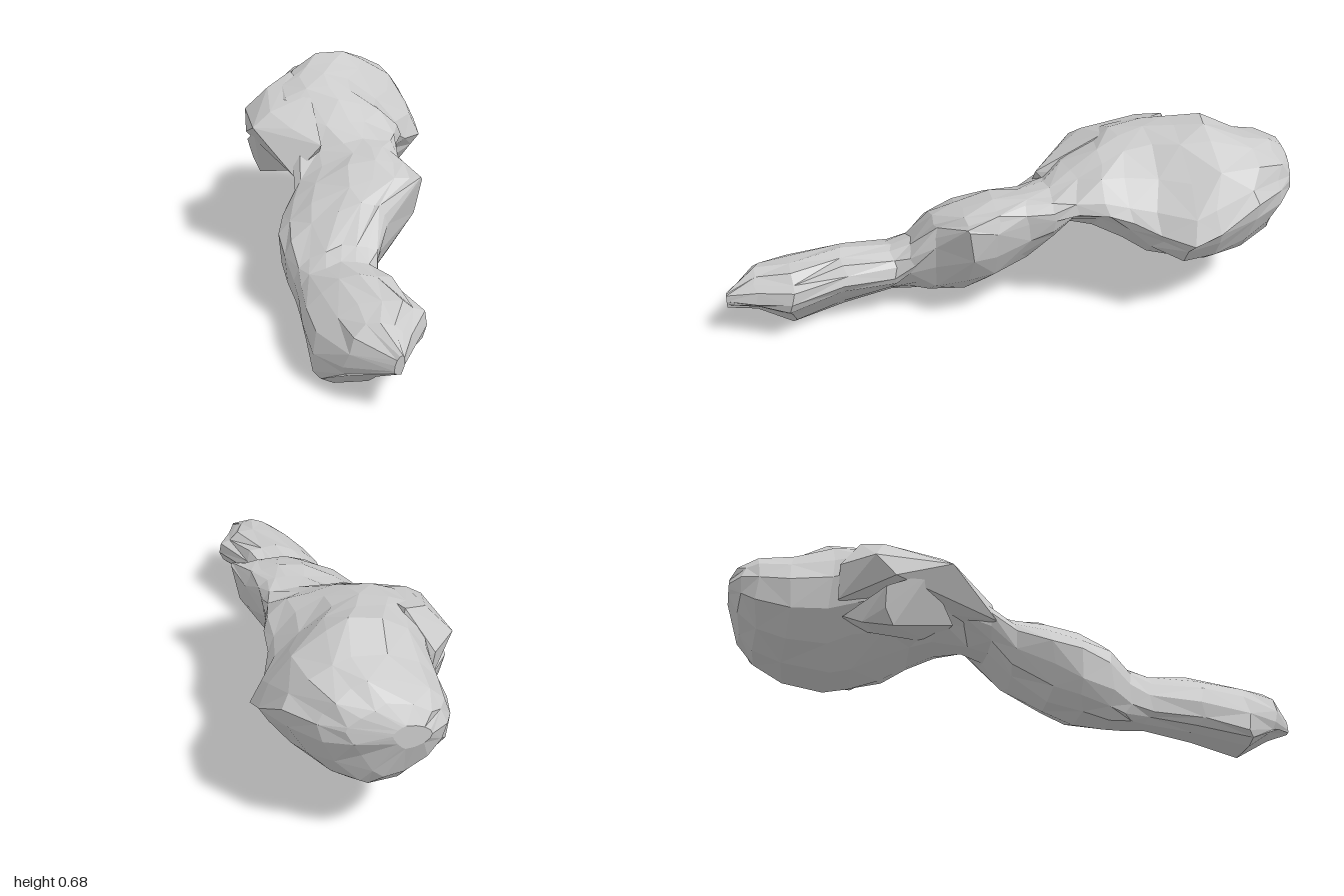
import * as THREE from 'three';
import { ConvexGeometry } from 'three/addons/geometries/ConvexGeometry.js';

const QUARTER = 4, SIDES = QUARTER * 4;

// Each station: z, then the left, right, top and bottom extreme points (x, y).
// bend: corner exponents (top right, top left, bottom left, bottom right); 2 is straight, below 1 is boxy.
const foot = {
  bend: [0.85, 1.1, 0.55, 1.75],
  stations: [
    [1.0, 0.04, 0.14, 0.07, 0.16, 0.065, 0.19, 0.06, 0.13],
    [0.9, -0.10, 0.11, 0.11, 0.16, 0.01, 0.25, 0.0, 0.075],
    [0.78, -0.18, 0.10, 0.168, 0.18, 0.03, 0.265, -0.01, 0.0],
    [0.6, -0.20, 0.12, 0.11, 0.20, -0.02, 0.28, -0.06, 0.025],
    [0.42, -0.20, 0.13, 0.06, 0.18, -0.06, 0.25, -0.11, 0.035],
    [0.35, -0.21, 0.16, 0.07, 0.23, -0.05, 0.28, -0.11, 0.03],
  ],
};
const neck = {
  bend: [0.75, 1.35, 0.8, 1.15],
  stations: [
    [0.28, -0.235, 0.22, 0.11, 0.32, 0.02, 0.40, -0.11, 0.03],
    [0.18, -0.25, 0.26, 0.238, 0.44, 0.07, 0.445, -0.08, 0.05],
    [0.08, -0.23, 0.29, 0.21, 0.41, 0.09, 0.48, -0.05, 0.105],
    [-0.03, -0.18, 0.34, 0.18, 0.42, 0.09, 0.49, 0.0, 0.20],
    [-0.12, -0.18, 0.40, 0.19, 0.43, 0.07, 0.495, 0.0, 0.29],
  ],
};
const recess = {
  bend: [1.1, 1.1, 1.1, 1.9],
  stations: [
    [-0.2, -0.20, 0.43, 0.20, 0.45, 0.03, 0.535, -0.02, 0.31],
    [-0.3, -0.26, 0.46, 0.23, 0.45, 0.0, 0.59, -0.02, 0.29],
  ],
};
const head = {
  bend: [1.35, 1.05, 1.05, 1.5],
  stations: [
    [-0.38, -0.27, 0.48, 0.235, 0.42, -0.03, 0.62, 0.06, 0.28],
    [-0.47, -0.27, 0.49, 0.27, 0.38, -0.04, 0.645, 0.09, 0.235],
    [-0.57, -0.25, 0.48, 0.338, 0.365, 0.0, 0.66, 0.10, 0.20],
    [-0.66, -0.225, 0.46, 0.33, 0.40, 0.05, 0.68, 0.10, 0.18],
    [-0.8, -0.225, 0.44, 0.29, 0.48, 0.08, 0.63, 0.08, 0.195],
    [-0.9, -0.20, 0.45, 0.21, 0.48, 0.06, 0.605, 0.05, 0.24],
    [-0.96, -0.17, 0.46, 0.14, 0.48, 0.02, 0.56, 0.02, 0.30],
    [-1.0, -0.11, 0.46, 0.01, 0.47, -0.03, 0.50, -0.03, 0.42],
  ],
};

// Small seeded generator for the rough surface
function makeRandom(seed) {
  return () => {
    seed = (seed * 16807) % 2147483647;
    return seed / 2147483647 - 0.5;
  };
}

// One ring of points: four bent arcs joining the extreme points
function ring([z, lx, ly, rx, ry, tx, ty, bx, by], bend, rough, random) {
  const ends = [[rx, ry], [tx, ty], [lx, ly], [bx, by]];
  const points = [];
  for (let q = 0; q < 4; q++) {
    const p = ends[q], n = ends[(q + 1) % 4];
    const o = q % 2 ? [p[0], n[1]] : [n[0], p[1]];
    for (let k = 0; k < QUARTER; k++) {
      const t = (k / QUARTER) * Math.PI / 2;
      const c = Math.cos(t) ** bend[q], s = Math.sin(t) ** bend[q];
      const r = k === 0 ? 0 : rough;
      points.push([
        o[0] + c * (p[0] - o[0]) + s * (n[0] - o[0]) + random() * r,
        o[1] + c * (p[1] - o[1]) + s * (n[1] - o[1]) + random() * r,
        z + random() * r * 2,
      ]);
    }
  }
  return points;
}

function loft(sections) {
  const random = makeRandom(4217), positions = [], index = [];
  const rows = sections.flatMap(({ bend, stations }) => stations.map((station) => ({ bend, station })));
  const last = rows.length - 1;
  rows.forEach(({ bend, station }, i) => {
    const rough = i === 0 || i === last ? 0 : 0.018;
    ring(station, bend, rough, random).forEach((p) => positions.push(p[0], Math.max(0, p[1]), p[2]));
  });
  for (let i = 0; i < last; i++) {
    for (let j = 0; j < SIDES; j++) {
      const k = (j + 1) % SIDES;
      const a = i * SIDES + j, b = i * SIDES + k, c = a + SIDES, d = b + SIDES;
      // alternate the diagonals for an irregular faceted skin
      if ((i + j) % 2) index.push(a, c, b, b, c, d);
      else index.push(a, c, d, a, d, b);
    }
  }
  // end caps
  for (let j = 1; j < SIDES - 1; j++) {
    const e = last * SIDES;
    index.push(0, j, j + 1, e, e + j + 1, e + j);
  }
  const geometry = new THREE.BufferGeometry();
  geometry.setAttribute('position', new THREE.Float32BufferAttribute(positions, 3));
  geometry.setIndex(index);
  geometry.computeVertexNormals();
  return geometry;
}

export function createModel() {
  const group = new THREE.Group();
  group.name = 'lumpyRock';
  const material = new THREE.MeshStandardMaterial({ color: 0xcccccc, flatShading: true });

  // Long body from the narrow foot through the neck to the bulky head
  const body = new THREE.Mesh(loft([foot, neck, recess, head]), material);
  body.name = 'rockBody';
  group.add(body);

  const addHull = (name, corners) => {
    const hull = new THREE.Mesh(new ConvexGeometry(corners.map((p) => new THREE.Vector3(...p))), material);
    hull.name = name;
    group.add(hull);
  };

  // Shoulder bulging from one side of the head and running into the neck
  addHull('sideShoulder', [
    [-0.335, 0.5, -0.53], [-0.335, 0.43, -0.46], [-0.315, 0.5, -0.27], [-0.25, 0.55, -0.3],
    [-0.25, 0.588, -0.5], [-0.16, 0.63, -0.57], [-0.18, 0.515, -0.2], [-0.08, 0.48, -0.1],
    [-0.18, 0.37, -0.1], [-0.1, 0.36, -0.2], [-0.24, 0.5, -0.64], [-0.22, 0.38, -0.64],
    [-0.1, 0.4, -0.6], [-0.1, 0.6, -0.35],
  ]);

  // Ledge hanging beneath the shoulder
  addHull('lowerLedge', [
    [-0.33, 0.39, -0.49], [-0.31, 0.32, -0.49], [-0.285, 0.27, -0.46], [-0.25, 0.29, -0.56],
    [-0.19, 0.28, -0.5], [-0.2, 0.3, -0.4], [-0.18, 0.34, -0.25], [-0.2, 0.33, -0.62],
    [-0.05, 0.33, -0.3], [-0.05, 0.36, -0.62], [-0.31, 0.46, -0.35],
  ]);

  return group;
}
